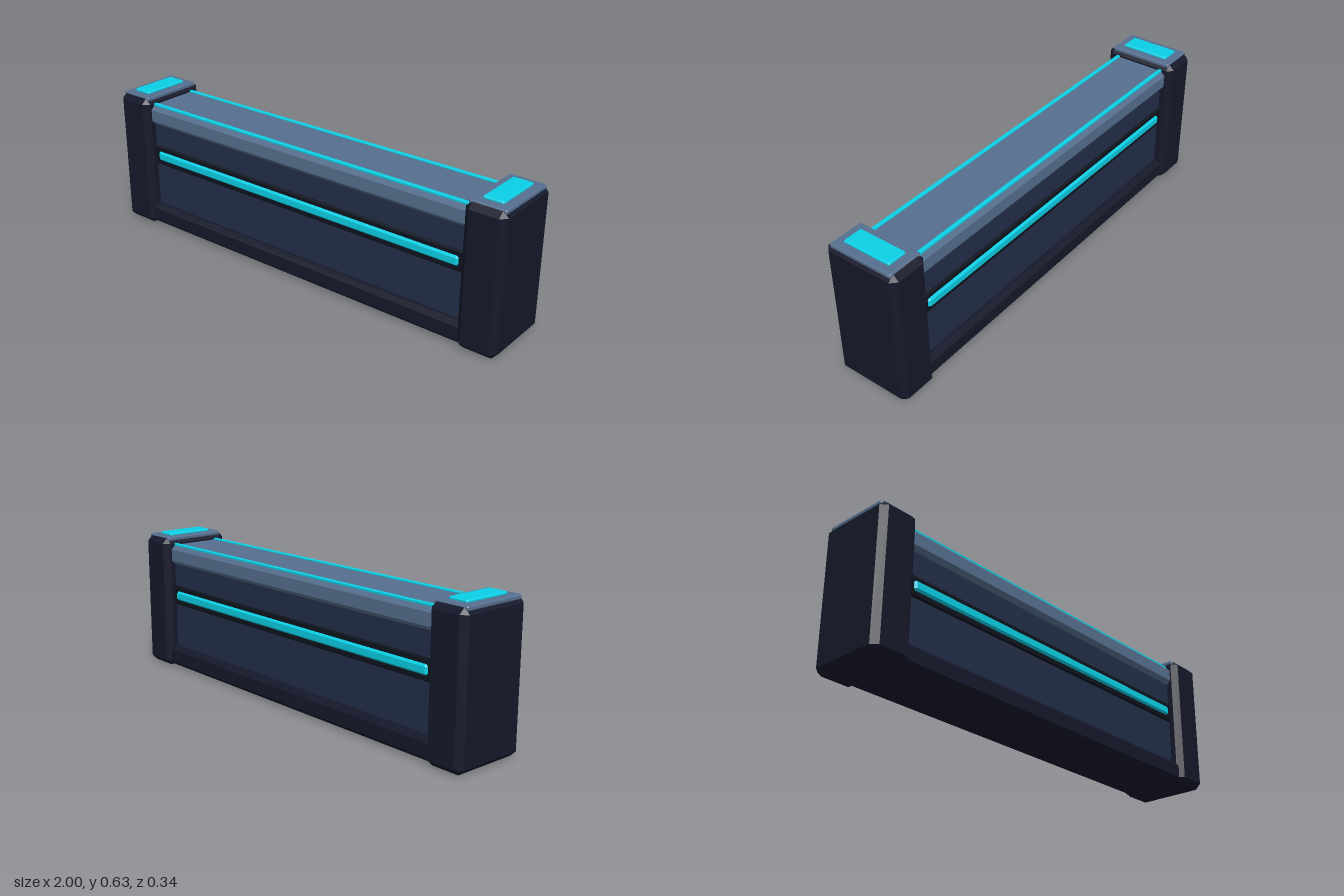
import * as THREE from 'three';
import { ConvexGeometry } from 'three/addons/geometries/ConvexGeometry.js';

const paint = (color) => new THREE.MeshStandardMaterial({ color });
const DARK = paint(0x15182a);
const NAVY = paint(0x222e48);
const BLACK = paint(0x0e131d);
const SLATE = paint(0x566f8e);
const CYAN = paint(0x0bd0e6);

// Box with every edge cut by a flat chamfer c
function chamferBox(w, h, d, c) {
  const points = [];
  for (const sx of [-1, 1]) for (const sy of [-1, 1]) for (const sz of [-1, 1]) {
    const x = w / 2, y = h / 2, z = d / 2;
    points.push(
      new THREE.Vector3(sx * x, sy * (y - c), sz * (z - c)),
      new THREE.Vector3(sx * (x - c), sy * y, sz * (z - c)),
      new THREE.Vector3(sx * (x - c), sy * (y - c), sz * z)
    );
  }
  return new ConvexGeometry(points);
}

export function createModel() {
  const model = new THREE.Group();
  model.name = 'barrier';

  // Adds a chamfered block standing between heights y0 and y1
  function block(parent, name, material, w, y0, y1, d, c, x = 0, z = 0) {
    const mesh = new THREE.Mesh(chamferBox(w, y1 - y0, d, c), material);
    mesh.name = name;
    mesh.position.set(x, (y0 + y1) / 2, z);
    parent.add(mesh);
  }

  // Wall between the posts
  block(model, 'plinth', DARK, 1.72, 0.003, 0.1, 0.304, 0.02);
  block(model, 'wallPanel', NAVY, 1.7, 0.06, 0.52, 0.24, 0.01);
  block(model, 'lightChannel', BLACK, 1.7, 0.3, 0.39, 0.256, 0.006);
  block(model, 'topRail', SLATE, 1.72, 0.49, 0.583, 0.276, 0.02);

  // Light strips on both faces and along the rail edges
  for (const side of [1, -1]) {
    block(model, 'faceLight', CYAN, 1.6, 0.325, 0.367, 0.03, 0.008, 0, side * 0.123);
    block(model, 'railLight', CYAN, 1.68, 0.575, 0.59, 0.018, 0.003, 0, side * 0.112);
  }

  // End posts with cap and lamp
  for (const side of [1, -1]) {
    const post = new THREE.Group();
    post.name = side > 0 ? 'leftPost' : 'rightPost';
    post.position.x = side * 0.9125;
    block(post, 'postBody', DARK, 0.175, 0, 0.615, 0.34, 0.025);
    block(post, 'postCap', SLATE, 0.158, 0.598, 0.62, 0.294, 0.006);
    block(post, 'postLamp', CYAN, 0.088, 0.615, 0.63, 0.22, 0.005);
    model.add(post);
  }
  return model;
}
